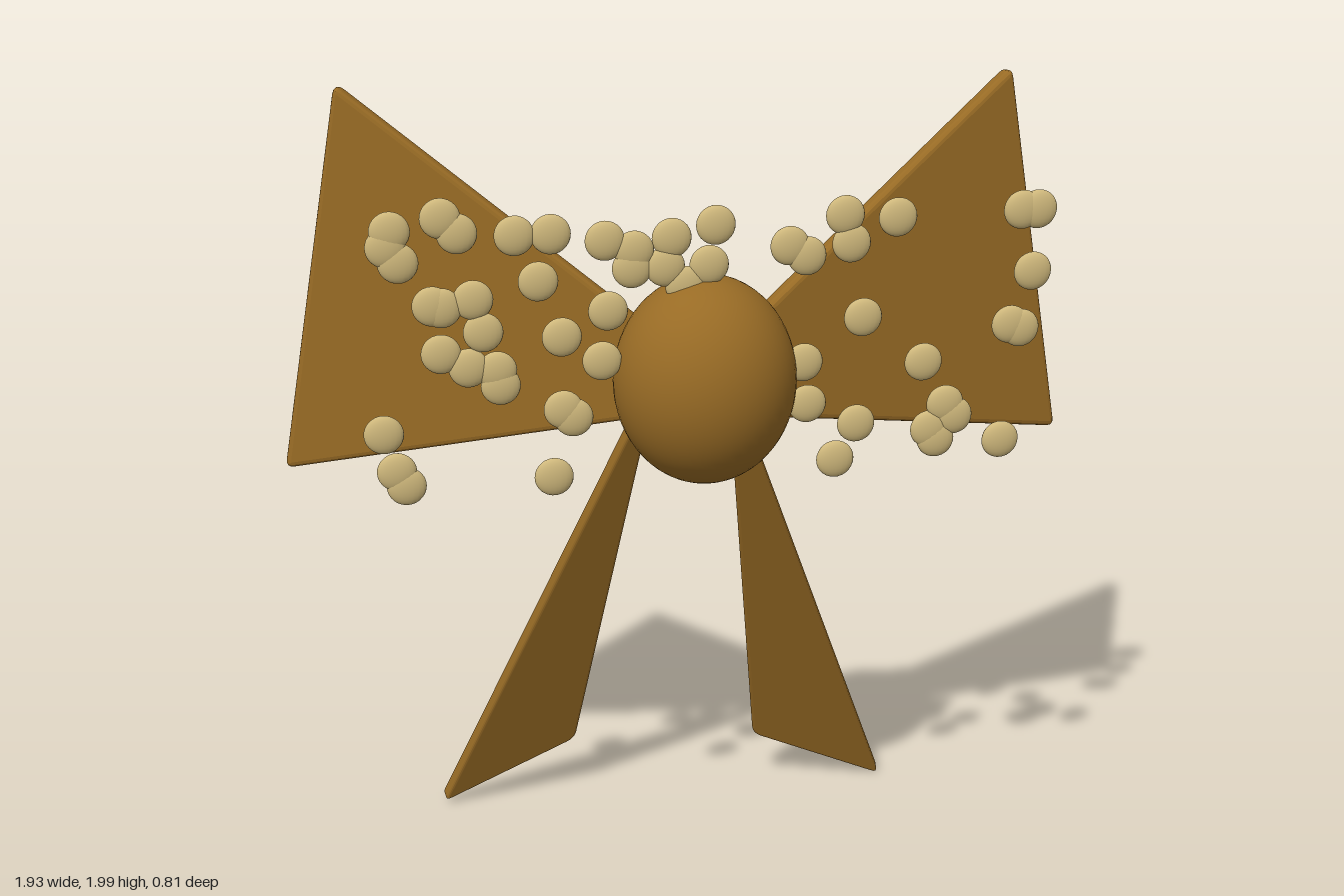
import * as THREE from 'three';

const brown = new THREE.MeshStandardMaterial({ color: 0x986b25 });
brown.name = 'ribbonBrown';
const cream = new THREE.MeshStandardMaterial({ color: 0xcfb87c });
cream.name = 'beadCream';

// Flat plate with softened edges through four roughly coplanar corners
function plate(name, corners, thickness, bevel, radius) {
  const p = corners.map(c => new THREE.Vector3(...c));
  const u = p[1].clone().sub(p[0]).normalize();
  const n = u.clone().cross(p[2].clone().sub(p[0])).normalize();
  const v = n.clone().cross(u);
  const flat = p.map(q => {
    const d = q.clone().sub(p[0]);
    return new THREE.Vector2(d.dot(u), d.dot(v));
  });
  const shape = new THREE.Shape();
  flat.forEach((c, i) => {
    const toward = q => {
      const d = q.clone().sub(c);
      return c.clone().add(d.setLength(Math.min(radius, d.length() * 0.4)));
    };
    const a = toward(flat[(i + 3) % 4]);
    const b = toward(flat[(i + 1) % 4]);
    if (i === 0) shape.moveTo(a.x, a.y);
    else shape.lineTo(a.x, a.y);
    shape.quadraticCurveTo(c.x, c.y, b.x, b.y);
  });
  shape.closePath();
  const depth = thickness - 2 * bevel;
  const geo = new THREE.ExtrudeGeometry(shape, {
    depth, bevelEnabled: true, bevelThickness: bevel, bevelSize: bevel,
    bevelOffset: -bevel, bevelSegments: 3, curveSegments: 4,
  });
  geo.translate(0, 0, -depth / 2);
  geo.applyMatrix4(new THREE.Matrix4().makeBasis(u, v, n).setPosition(p[0]));
  const mesh = new THREE.Mesh(geo, brown);
  mesh.name = name;
  return mesh;
}

// Bead centres (x, y)
const beadsRight = [
  [-0.71, 1.745], [-0.72, 1.71], [-0.695, 1.675], [-0.6, 1.77], [-0.565, 1.735], [-0.44, 1.725],
  [-0.36, 1.725], [-0.24, 1.705], [-0.175, 1.68], [-0.18, 1.64], [-0.09, 1.705], [-0.105, 1.64],
  [0.01, 1.73], [-0.005, 1.64], [-0.06, 1.595], [-0.39, 1.62], [-0.535, 1.585], [-0.625, 1.575],
  [-0.605, 1.57], [-0.515, 1.51], [-0.61, 1.465], [-0.55, 1.43], [-0.487, 1.42], [-0.48, 1.385],
  [-0.34, 1.49], [-0.235, 1.545], [-0.25, 1.43], [-0.34, 1.32], [-0.317, 1.3], [-0.745, 1.285],
  [-0.72, 1.195], [-0.7, 1.16], [-0.365, 1.16],
];
const beadsLeft = [
  [0.18, 1.675], [0.22, 1.65], [0.307, 1.74], [0.323, 1.675], [0.43, 1.73], [0.725, 1.735],
  [0.762, 1.735], [0.757, 1.59], [0.355, 1.5], [0.71, 1.465], [0.735, 1.455], [0.217, 1.4],
  [0.227, 1.3], [0.503, 1.385], [0.345, 1.245], [0.297, 1.16], [0.56, 1.28], [0.582, 1.25],
  [0.523, 1.22], [0.54, 1.195], [0.7, 1.183],
];

export function createModel() {
  const model = new THREE.Group();
  model.name = 'ribbonBow';

  // Central knot
  const knot = new THREE.Mesh(new THREE.SphereGeometry(1, 48, 32), brown);
  knot.name = 'knot';
  knot.scale.set(0.212, 0.245, 0.198);
  knot.position.set(-0.008, 1.363, 0.207);
  model.add(knot);

  // Two loops swept back, and two tails hanging behind; right side sits slightly further back
  for (const [side, s, back] of [['left', 1, 0], ['right', -1, 0.042]]) {
    const w = s > 0 ? 0.965 : 0.97;
    model.add(plate(side + 'Loop', [
      [s * 0.8, 2.005, -0.118 - back],
      [s * w, 1.085, -0.118 - back],
      [s * 0.115, 1.23, 0.09 - back],
      [s * 0.115, 1.455, 0.08 - back],
    ], 0.045, 0.014, 0.025));

    const t = s > 0 ? 0 : 0.015;
    model.add(plate(side + 'Tail', [
      [s * (0.605 + t), t, -0.35 - back * 0.9],
      [s * (0.24 + t), 0.16 + t, -0.35 - back * 0.9],
      [s * (0.09 + t), 1.22, 0.025 - back * 0.8],
      [s * (0.125 + t), 1.22, 0.025 - back * 0.8],
    ], 0.034, 0.008, 0.025));
  }

  // Flattened beads scattered in one upright plane
  const beads = new THREE.Group();
  beads.name = 'beads';
  const beadGeo = new THREE.SphereGeometry(0.045, 20, 14).scale(1, 1, 0.36);
  for (const [x, y] of [...beadsRight, ...beadsLeft]) {
    const bead = new THREE.Mesh(beadGeo, cream);
    bead.name = 'bead';
    bead.position.set(x, y, 0.238);
    beads.add(bead);
  }
  model.add(beads);
  return model;
}
